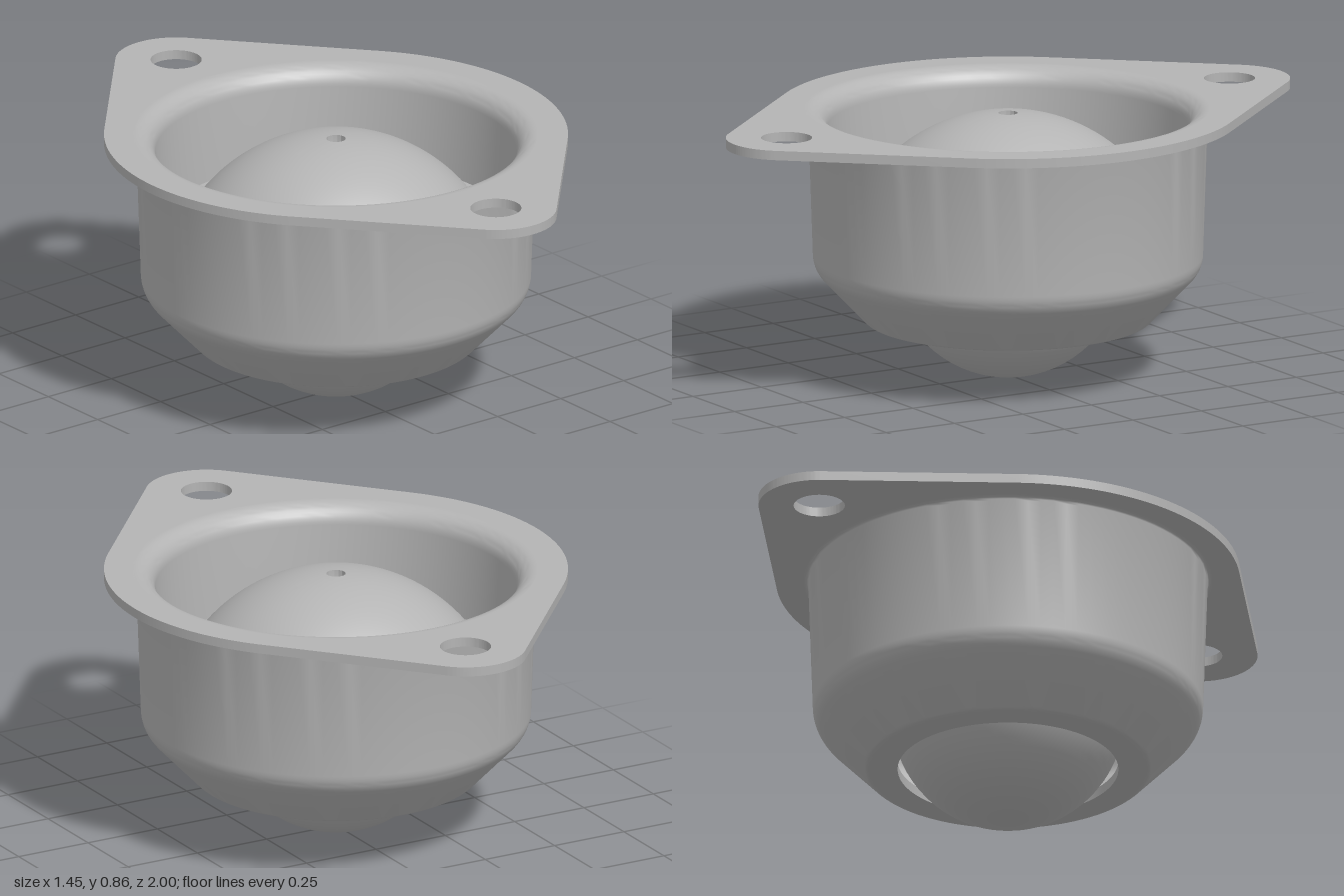
import * as THREE from 'three';
import { toCreasedNormals } from 'three/addons/utils/BufferGeometryUtils.js';

const V = (x, y) => new THREE.Vector2(x, y);

// Points along a circular arc, angles in degrees
function arc(cx, cy, r, from, to, n = 8) {
  return Array.from({ length: n + 1 }, (_, i) => {
    const a = THREE.MathUtils.degToRad(from + (to - from) * i / n);
    return V(cx + r * Math.cos(a), cy + r * Math.sin(a));
  });
}

function turned(points, name, material) {
  const geo = toCreasedNormals(new THREE.LatheGeometry(points, 96), 0.6);
  const mesh = new THREE.Mesh(geo, material);
  mesh.name = name;
  return mesh;
}

export function createModel() {
  const model = new THREE.Group();
  model.name = 'ballTransferUnit';
  const steel = new THREE.MeshStandardMaterial({ color: 0xb4b4b4 });
  steel.name = 'steel grey';

  // Mounting flange: round plate tapering to two rounded ears
  const R = 0.725, r = 0.19, earZ = 0.81, t = Math.asin((R - r) / earZ);
  const outline = new THREE.Shape();
  outline.absarc(0, 0, R, -t, t, false);
  outline.absarc(0, earZ, r, t, Math.PI - t, false);
  outline.absarc(0, 0, R, Math.PI - t, Math.PI + t, false);
  outline.absarc(0, -earZ, r, Math.PI + t, 2 * Math.PI - t, false);
  outline.closePath();
  for (const [y, rad] of [[0, 0.63], [earZ, 0.08], [-earZ, 0.08]]) {
    outline.holes.push(new THREE.Path().absarc(0, y, rad, 0, Math.PI * 2, true));
  }
  const plate = new THREE.ExtrudeGeometry(outline, { depth: 0.03, bevelEnabled: false, curveSegments: 48 });
  plate.rotateX(-Math.PI / 2).translate(0, 0.825, 0);
  const flange = new THREE.Mesh(toCreasedNormals(plate, 0.6), steel);
  flange.name = 'flange';
  model.add(flange);

  // Housing: drawn cup with chamfered bottom, rolled lip and open base
  model.add(turned([
    V(0.345, 0.205), V(0.345, 0.175),
    ...arc(0.43, 0.205, 0.03, -90, -45, 4),
    ...arc(0.51, 0.39, 0.1, -45, -2, 8),
    V(0.624, 0.81), ...arc(0.638, 0.811, 0.014, 180, 90, 4),
    V(0.638, 0.855), ...arc(0.63, 0.79, 0.065, 90, 178, 10),
    V(0.55, 0.4), ...arc(0.48, 0.4, 0.07, 0, -45, 6),
    V(0.42, 0.205), V(0.345, 0.205),
  ], 'housing', steel));

  // Domed cap over the ball, with a drain hole and a flat seating rim
  const domeR = 0.542, domeY = 0.298;
  model.add(turned([
    V(0.55, 0.52), V(0.55, 0.545), V(0.545, 0.55), V(0.486, 0.55),
    ...arc(0, domeY, domeR, 28.5, 86.8, 24),
    V(0.03, 0.80), ...arc(0, domeY, domeR - 0.04, 86.6, 26.3, 24),
    V(0.55, 0.52),
  ], 'domedCap', steel));

  // Load ball protruding below the housing
  const ball = new THREE.Mesh(new THREE.SphereGeometry(0.365, 64, 40), steel);
  ball.position.y = 0.365;
  ball.name = 'ball';
  model.add(ball);

  return model;
}
